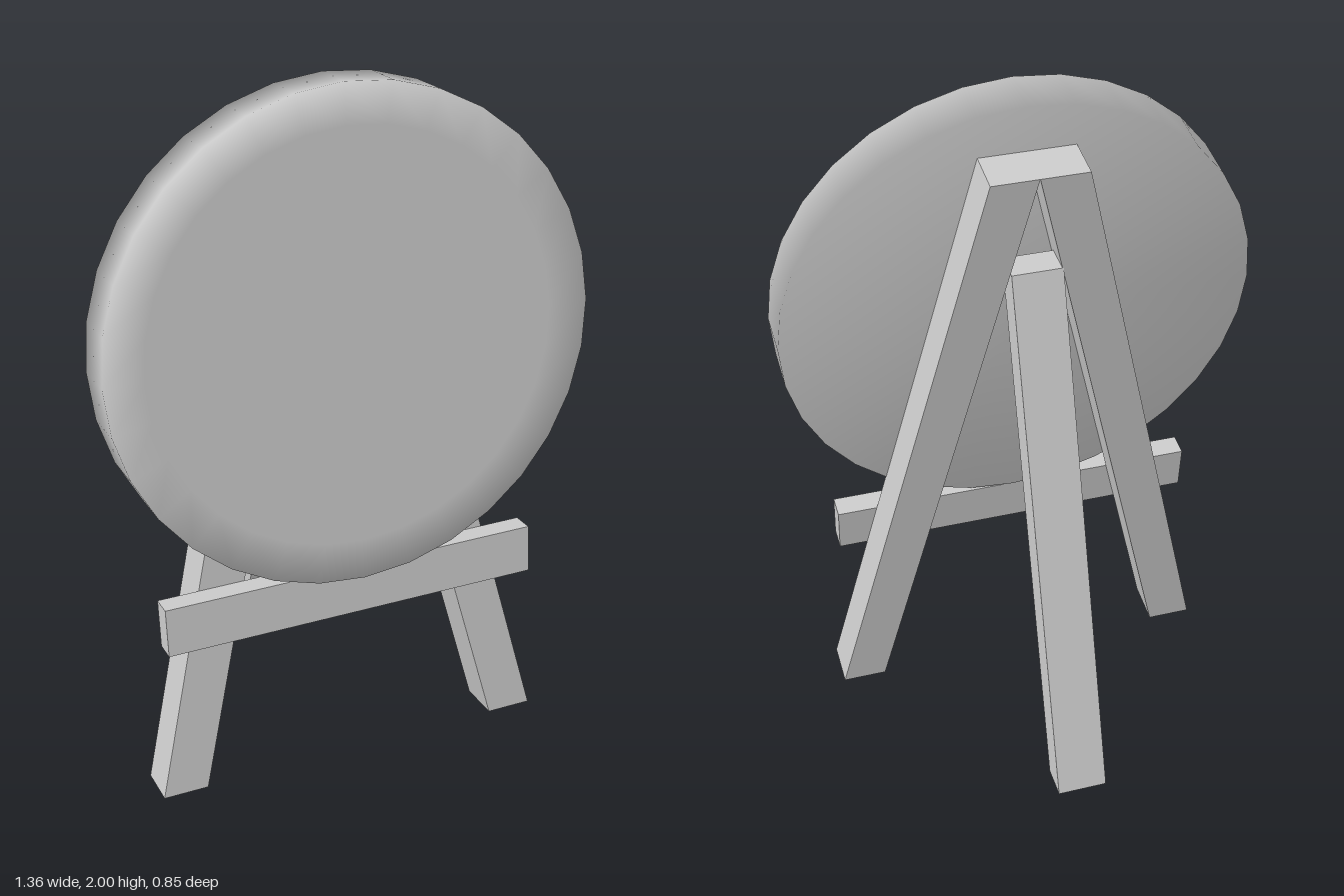
import * as THREE from 'three';

const material = new THREE.MeshStandardMaterial({ color: 0xcccccc });

function part(name, geometry) {
  const mesh = new THREE.Mesh(geometry, material);
  mesh.name = name;
  return mesh;
}

// Straight prism from a 2D outline
function prism(points, depth) {
  const shape = new THREE.Shape(points.map(([x, y]) => new THREE.Vector2(x, y)));
  return new THREE.ExtrudeGeometry(shape, { depth, bevelEnabled: false });
}

export function createModel() {
  const model = new THREE.Group();
  model.name = 'discOnEasel';

  // Everything at the front leans back in one tilted frame
  const leaning = new THREE.Group();
  leaning.name = 'leaningFrame';
  leaning.position.z = 0.24;
  leaning.rotation.x = -0.13;
  model.add(leaning);

  // Front legs, meeting at the top
  const legs = [
    ['leftFrontLeg', [[0.44, 0], [0.57, 0], [0.13, 1.846], [-0.003, 1.846]]],
    ['rightFrontLeg', [[-0.58, 0], [-0.45, 0], [-0.003, 1.846], [-0.14, 1.846]]],
  ];
  for (const [name, outline] of legs) leaning.add(part(name, prism(outline, 0.13)));

  // Ledge across the legs
  const ledge = part('ledge', new THREE.BoxGeometry(1.09, 0.139, 0.067));
  ledge.position.set(-0.005, 0.549, 0.163);
  leaning.add(ledge);

  // Round disc with softly shaded rim
  const profile = [[0, 0], [0.682, 0], [0.682, 0.142], [0.57, 0.142], [0, 0.142]]
    .map(([r, h]) => new THREE.Vector2(r, h));
  const disc = part('disc', new THREE.LatheGeometry(profile, 32).rotateX(Math.PI / 2));
  disc.position.set(0, 1.302, 0.126);
  leaning.add(disc);

  // Rear prop, cut level at both ends
  const prop = prism([[-0.42, 0.01], [-0.325, 0.01], [0.135, 1.53], [0.04, 1.53]], 0.145);
  prop.rotateY(-Math.PI / 2).translate(0.065, 0, 0);
  model.add(part('backLeg', prop));

  return model;
}
